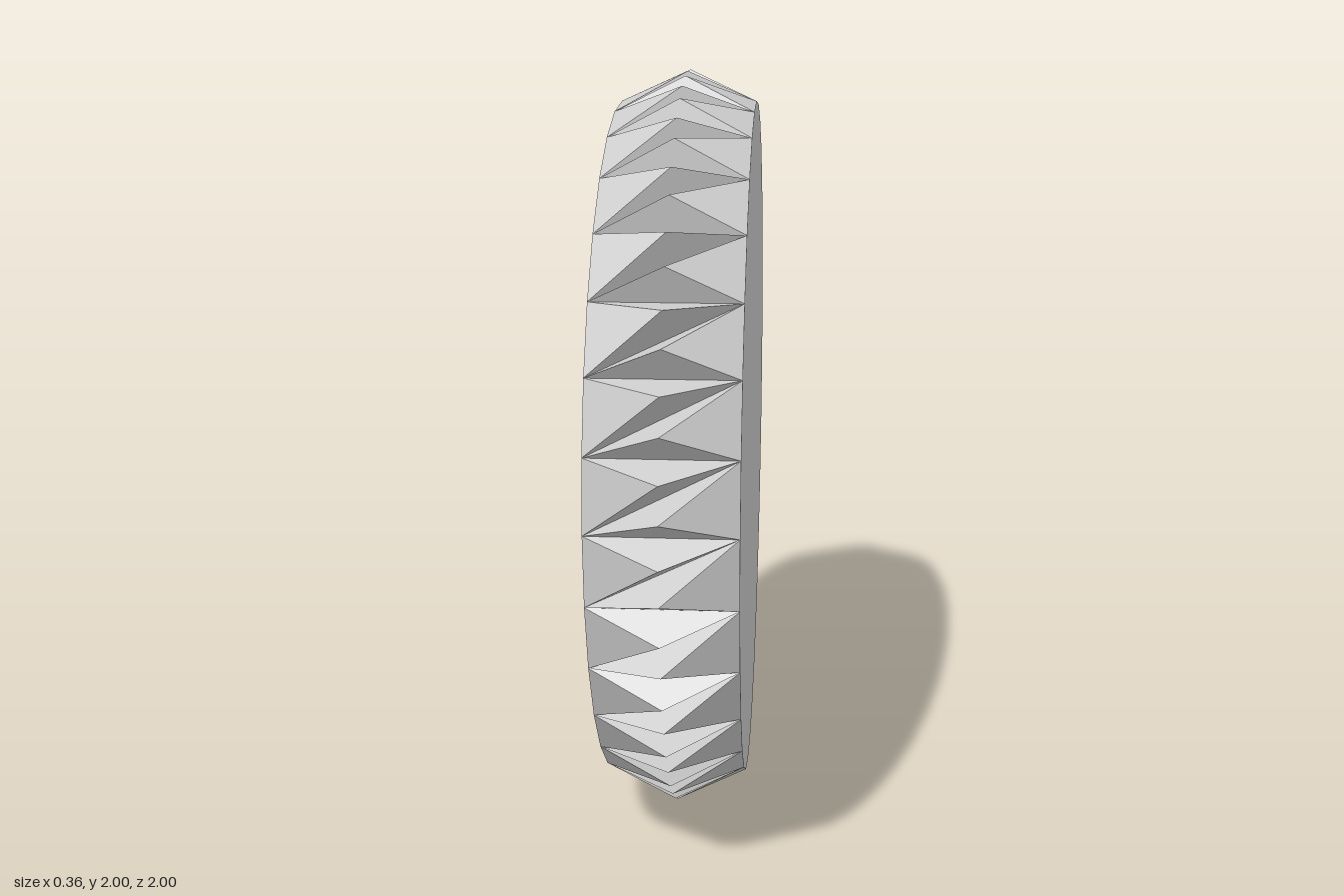
import * as THREE from 'three';

const SIDES = 32, RADIUS = 0.92, HALF_WIDTH = 0.18, TOOTH_HEIGHT = 0.085;

// Point on the rim; the angle runs from the front (+z) up towards the top (+y)
function rimPoint(x, i) {
  const a = (i / SIDES) * Math.PI * 2;
  return new THREE.Vector3(x, RADIUS * Math.sin(a), RADIUS * Math.cos(a));
}

// Three-sided spike over triangle p, q, r; the tip leans to the middle of the rim edge e1-e2
function addSpike(out, [p, q, r], e1, e2, opposite) {
  const normal = q.clone().sub(p).cross(r.clone().sub(p)).normalize();
  const tip = e1.clone().add(e2).multiplyScalar(0.5).add(opposite).multiplyScalar(0.5)
    .addScaledVector(normal, TOOTH_HEIGHT);
  for (const [a, b] of [[p, q], [q, r], [r, p]]) {
    for (const v of [a, b, tip]) out.push(v.x, v.y, v.z);
  }
}

export function createModel() {
  const group = new THREE.Group();
  group.name = 'spikedWheel';
  const material = new THREE.MeshStandardMaterial({ color: 0xcccccc, flatShading: true });

  // Tread: each rim panel is split along its diagonal, with one spike per half
  const positions = [];
  for (let i = 0; i < SIDES; i++) {
    const l0 = rimPoint(-HALF_WIDTH, i), l1 = rimPoint(-HALF_WIDTH, i + 1);
    const r0 = rimPoint(HALF_WIDTH, i), r1 = rimPoint(HALF_WIDTH, i + 1);
    addSpike(positions, [l0, r0, r1], r0, r1, l0);
    addSpike(positions, [l0, r1, l1], l0, l1, r1);
  }
  const treadGeometry = new THREE.BufferGeometry();
  treadGeometry.setAttribute('position', new THREE.Float32BufferAttribute(positions, 3));
  treadGeometry.computeVertexNormals();
  const tread = new THREE.Mesh(treadGeometry, material);
  tread.name = 'spikedTread';
  group.add(tread);

  // Flat side discs
  for (const side of [1, -1]) {
    const disc = new THREE.Mesh(new THREE.CircleGeometry(RADIUS, SIDES), material);
    disc.name = side > 0 ? 'leftDisc' : 'rightDisc';
    disc.rotation.y = side * Math.PI / 2;
    disc.position.x = side * HALF_WIDTH;
    group.add(disc);
  }

  group.position.y = 1;
  return group;
}
